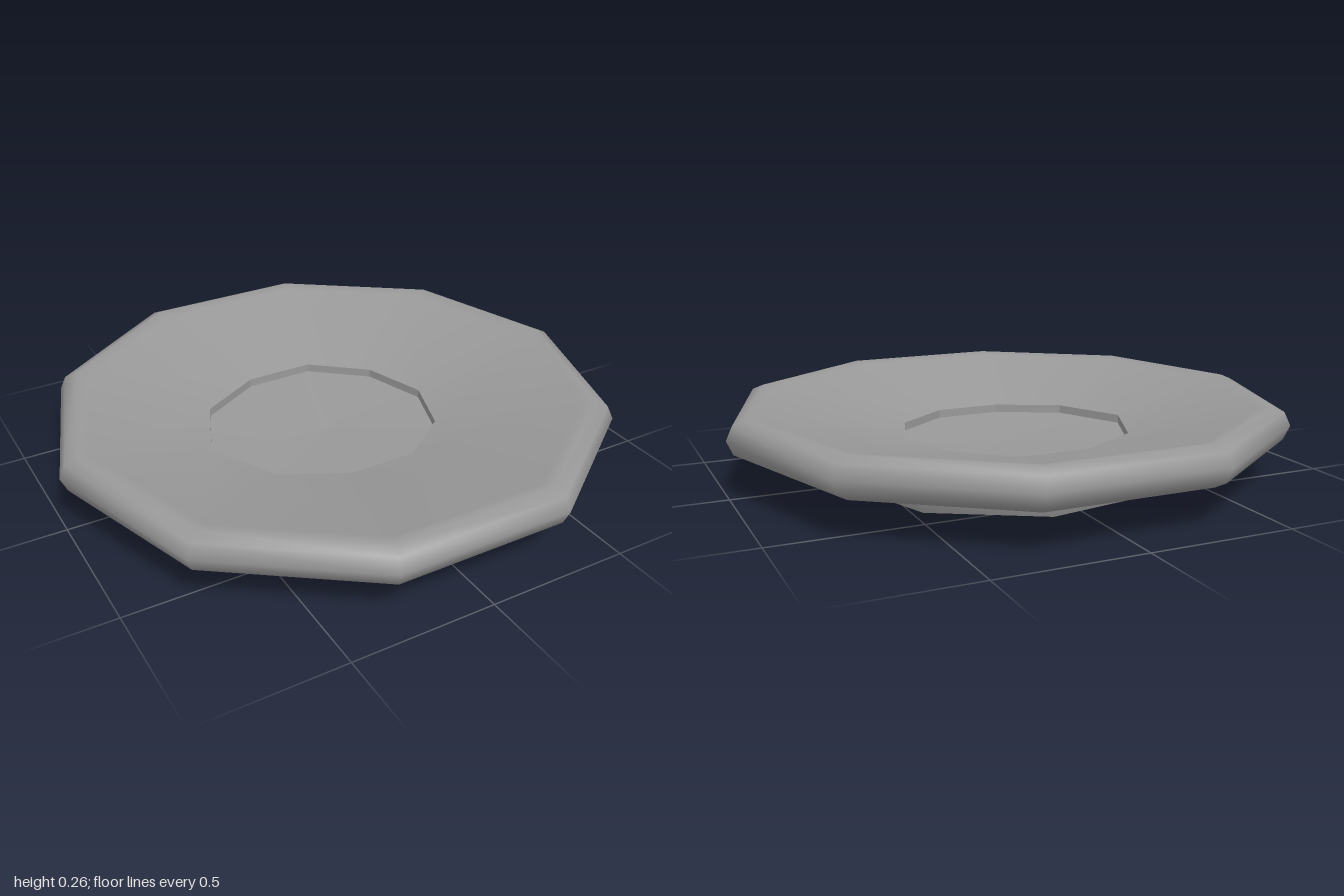
import * as THREE from 'three';

// Corners of the slightly uneven well opening [x, z], counter-clockwise from +x
const WELL = [
  [0.385, 0], [0.31, -0.23], [0.12, -0.39], [-0.13, -0.39], [-0.36, -0.26],
  [-0.47, 0], [-0.345, 0.245], [-0.12, 0.36], [0.12, 0.36], [0.31, 0.22],
];

// Turned form with its first corner on +x
function turned(profile, sides) {
  const points = profile.map(([r, y]) => new THREE.Vector2(r, y));
  return new THREE.LatheGeometry(points, sides, Math.PI / 2);
}

// Move chosen rings of a ten-sided turned form onto the well outline
function fitWell(geometry, profileLength, rings) {
  const pos = geometry.attributes.position;
  for (let i = 0; i <= 10; i++) {
    const [x, z] = WELL[i % 10];
    for (const j of rings) {
      const k = i * profileLength + j;
      pos.setXYZ(k, x, pos.getY(k), z);
    }
  }
  return geometry;
}

export function createModel() {
  const group = new THREE.Group();
  group.name = 'saucer';
  const grey = new THREE.MeshStandardMaterial({ color: 0x999999 });
  grey.name = 'grey';

  function add(name, geometry) {
    const mesh = new THREE.Mesh(geometry, grey);
    mesh.name = name;
    group.add(mesh);
  }

  // Dish: underside, rounded rim, then the sloping top down to the well
  const dish = [
    [0.45, 0.075], [0.6, 0.082], [0.89, 0.118], [0.935, 0.127], [0.978, 0.15],
    [1, 0.2], [0.978, 0.247], [0.935, 0.265], [0.89, 0.256], [0.4, 0.145],
  ];
  add('dish', fitWell(turned(dish, 10), dish.length, [dish.length - 1]));

  // Well: low upright wall and shallow floor
  const wall = fitWell(turned([[0.4, 0.145], [0.4, 0.115]], 10), 2, [0, 1]).toNonIndexed();
  wall.computeVertexNormals();
  add('wellWall', wall);
  add('wellFloor', fitWell(turned([[0.4, 0.115], [0, 0.095]], 10), 2, [0]));

  // Nine-sided foot with a softened lower edge
  add('foot', turned([[0, 0], [0.57, 0], [0.608, 0], [0.608, 0.088]], 9));

  return group;
}
